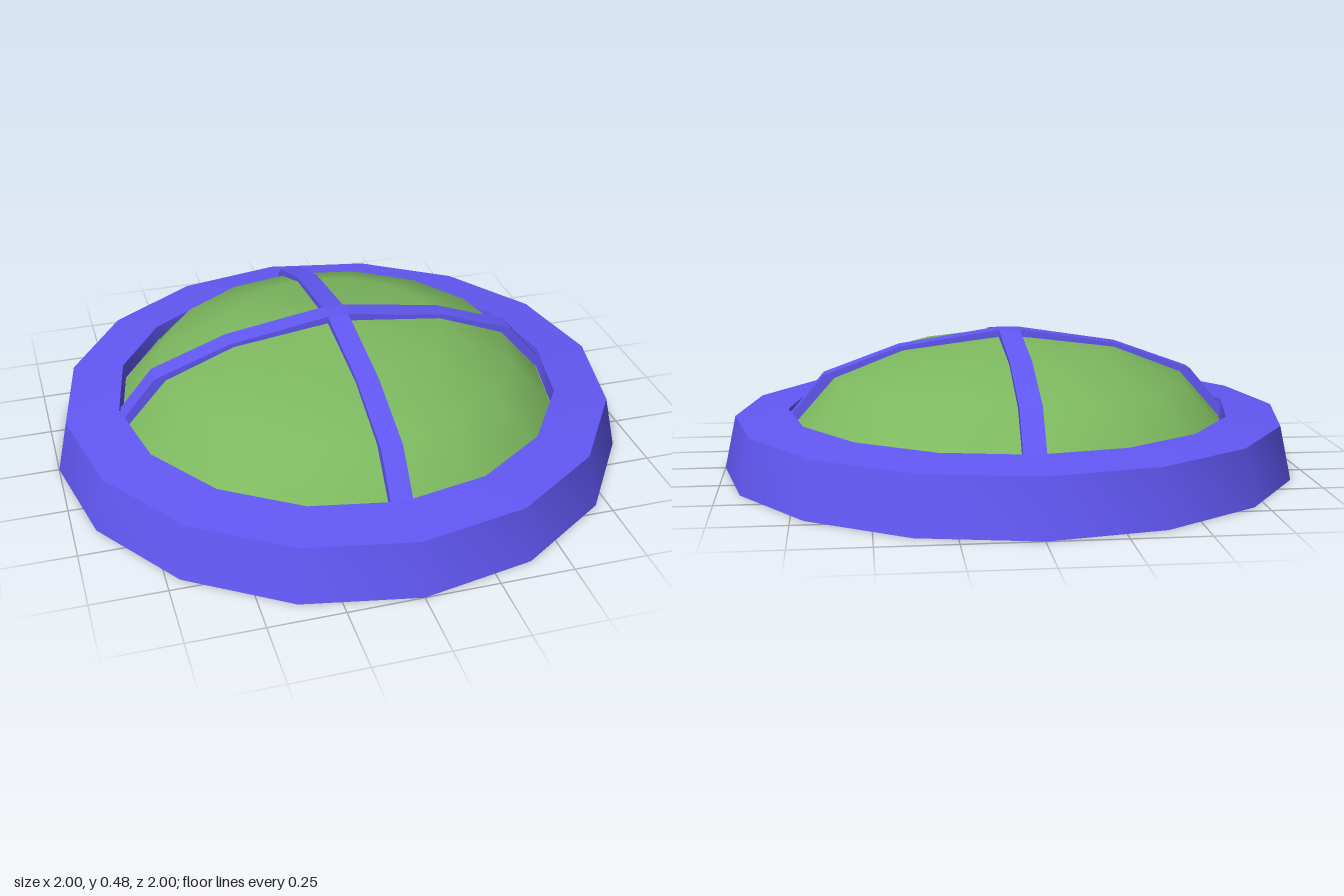
import * as THREE from 'three';
import { toCreasedNormals } from 'three/addons/utils/BufferGeometryUtils.js';

const SIDES = 16;
const HALF = 0.037; // half width of a rib

const frameMat = new THREE.MeshStandardMaterial({ color: 0x6258f5, side: THREE.DoubleSide });
const domeMat = new THREE.MeshStandardMaterial({ color: 0x7db85f, side: THREE.DoubleSide });

const points = (list) => list.map(([r, y]) => new THREE.Vector2(r, y));

function addMesh(parent, name, geometry, material) {
  const mesh = new THREE.Mesh(geometry, material);
  mesh.name = name;
  parent.add(mesh);
  return mesh;
}

// Open channel running outward along +z: left wall, top and right wall
function ribGeometry(topLine, bottomLine) {
  const pos = [], index = [];
  topLine.forEach(([rt, yt], i) => {
    const [rb, yb] = bottomLine[i];
    pos.push(-HALF, yb, rb, -HALF, yt, rt, HALF, yt, rt, HALF, yb, rb);
    if (i === 0) return;
    for (let k = 0; k < 3; k++) {
      const a = (i - 1) * 4 + k, b = a + 4;
      index.push(a, b, a + 1, b, b + 1, a + 1);
    }
  });
  const g = new THREE.BufferGeometry();
  g.setAttribute('position', new THREE.Float32BufferAttribute(pos, 3));
  g.setIndex(index);
  return toCreasedNormals(g, 0.2);
}

export function createModel() {
  const model = new THREE.Group();
  model.name = 'domedSkylight';

  // Base frame: sloped outer wall, top flange and short inner lip, open below
  const frame = new THREE.LatheGeometry(
    points([[1, 0], [0.96, 0.185], [0.775, 0.206], [0.768, 0.155]]), SIDES);
  addMesh(model, 'frame', toCreasedNormals(frame, 0.6), frameMat);

  // Dome panel, smooth shaded
  const dome = new THREE.LatheGeometry(
    points([[0.766, 0.155], [0.62, 0.32], [0.38, 0.413], [0, 0.461]]), SIDES);
  addMesh(model, 'domePanel', dome, domeMat);

  // Four ribs meeting at the crown
  const ribs = new THREE.Group();
  ribs.name = 'ribs';
  model.add(ribs);
  const rib = ribGeometry(
    [[HALF, 0.48], [0.385, 0.426], [0.65, 0.33], [0.79, 0.163]],
    [[HALF, 0.445], [0.376, 0.4], [0.608, 0.309], [0.75, 0.15]]);
  for (let i = 0; i < 4; i++) {
    addMesh(ribs, 'rib', rib, frameMat).rotation.y = i * Math.PI / 2;
  }

  // Flat square where the ribs cross
  const crown = new THREE.PlaneGeometry(HALF * 2, HALF * 2);
  crown.rotateX(-Math.PI / 2).translate(0, 0.48, 0);
  addMesh(ribs, 'ribCrossing', crown, frameMat);

  return model;
}
